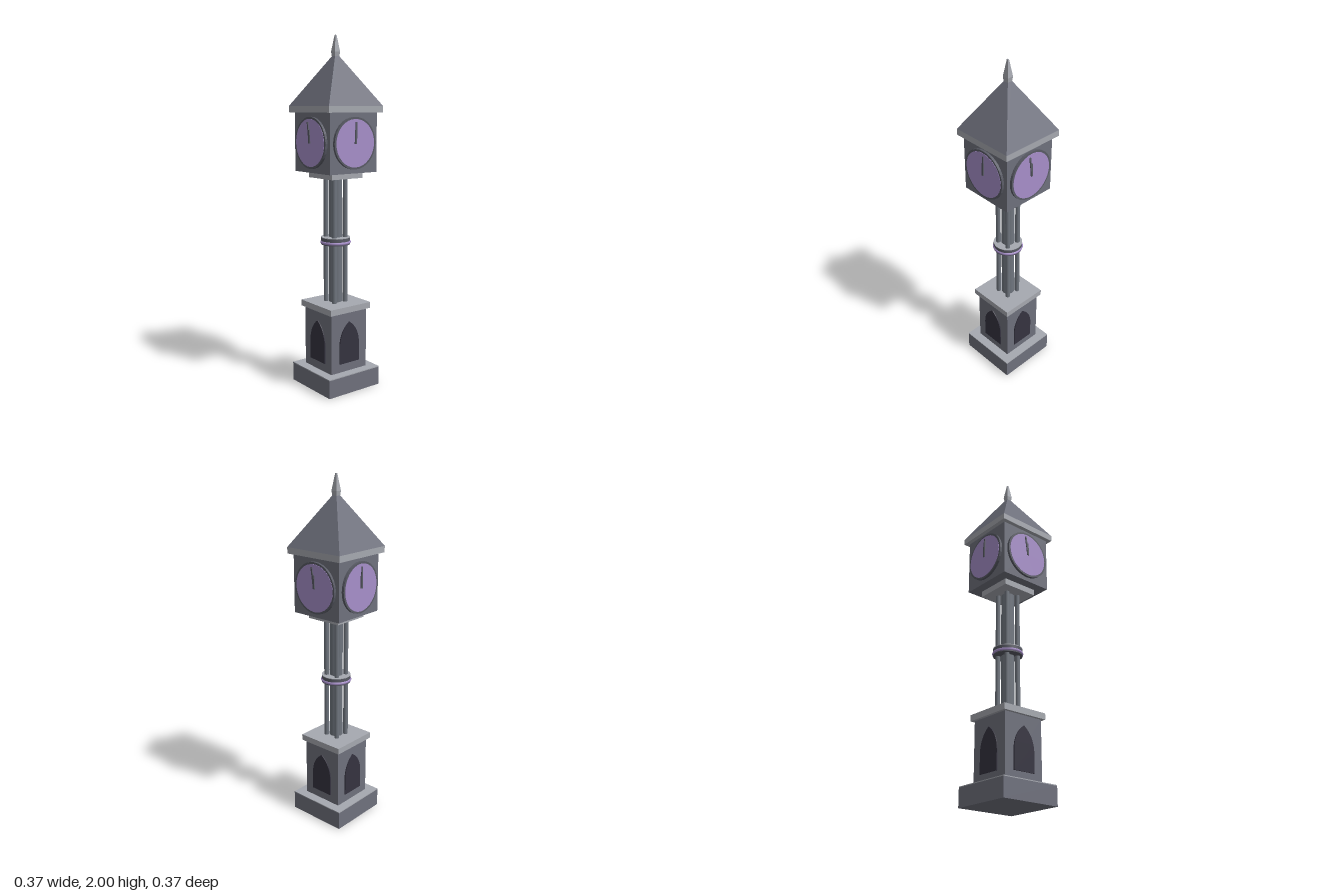
import * as THREE from 'three';

const mat = (name, color) => {
  const m = new THREE.MeshStandardMaterial({ color });
  m.name = name;
  return m;
};

export function createModel() {
  const stone = mat('stone', 0x6f717d);
  const trim = mat('pale trim', 0xa6a9b0);
  const iron = mat('iron', 0x595b65);
  const shaftGrey = mat('shaft grey', 0x70767f);
  const violet = mat('violet', 0xa78fca);
  const dark = mat('dark recess', 0x353340);

  const group = new THREE.Group();
  const add = (parent, name, geo, material, x = 0, y = 0, z = 0) => {
    const m = new THREE.Mesh(geo, material);
    m.name = name;
    m.position.set(x, y, z);
    parent.add(m);
    return m;
  };
  // Square block given by half width and its bottom and top heights
  const block = (name, half, y0, y1, material) =>
    add(group, name, new THREE.BoxGeometry(half * 2, y1 - y0, half * 2), material, 0, (y0 + y1) / 2, 0);
  // Square tapered prism given by half widths
  const taper = (name, bottom, top, y0, y1, material) => {
    const geo = new THREE.CylinderGeometry(top * Math.SQRT2, bottom * Math.SQRT2, y1 - y0, 4, 1)
      .rotateY(Math.PI / 4).toNonIndexed();
    geo.computeVertexNormals();
    return add(group, name, geo, material, 0, (y0 + y1) / 2, 0);
  };

  // Pedestal
  block('plinth', 0.18, 0, 0.105, stone);
  block('plinthTop', 0.18, 0.105, 0.11, trim);
  block('pedestal', 0.126, 0.11, 0.46, stone);
  block('pedestalCap', 0.143, 0.46, 0.495, trim);

  // Shaft with four corner colonettes
  add(group, 'shaftCore', new THREE.CylinderGeometry(0.038, 0.038, 0.72, 12), shaftGrey, 0, 0.855, 0);
  for (const x of [-1, 1]) for (const z of [-1, 1])
    add(group, 'colonette', new THREE.CylinderGeometry(0.014, 0.014, 0.72, 10), shaftGrey, x * 0.039, 0.855, z * 0.039);

  // Collar and its violet band
  add(group, 'collar', new THREE.CylinderGeometry(0.083, 0.083, 0.04, 32), iron, 0, 0.853, 0);
  add(group, 'collarTop', new THREE.CylinderGeometry(0.083, 0.083, 0.004, 32), trim, 0, 0.874, 0);
  add(group, 'collarBand', new THREE.TorusGeometry(0.078, 0.01, 8, 32).rotateX(Math.PI / 2), violet, 0, 0.846, 0);

  // Clock housing, roof and finial
  block('capital', 0.108, 1.215, 1.25, trim);
  block('clockHousing', 0.163, 1.25, 1.58, stone);
  block('cornice', 0.187, 1.58, 1.615, trim);
  taper('roof', 0.187, 0.012, 1.615, 1.89, stone);
  taper('finialBase', 0.014, 0.018, 1.88, 1.91, trim);
  taper('finialTip', 0.018, 0.004, 1.91, 2, trim);

  // Pointed arch outline
  const arch = new THREE.Shape();
  arch.moveTo(-0.069, 0.16);
  arch.lineTo(0.069, 0.16);
  arch.lineTo(0.069, 0.27);
  arch.quadraticCurveTo(0.066, 0.355, 0, 0.402);
  arch.quadraticCurveTo(-0.066, 0.355, -0.069, 0.27);
  arch.closePath();
  const archGeo = new THREE.ExtrudeGeometry(arch, { depth: 0.007, bevelEnabled: false, curveSegments: 8 });

  // Clock rim, dial and hand geometries
  const rim = new THREE.Shape().absarc(0, 0, 0.142, 0, Math.PI * 2);
  rim.holes.push(new THREE.Path().absarc(0, 0, 0.13, 0, Math.PI * 2, true));
  const rimGeo = new THREE.ExtrudeGeometry(rim, { depth: 0.015, bevelEnabled: false, curveSegments: 16 });
  const dialGeo = new THREE.CylinderGeometry(0.131, 0.131, 0.017, 32).rotateX(Math.PI / 2);
  const handGeo = (length, width) => new THREE.BoxGeometry(width, length, 0.005).translate(0, length / 2, 0);

  // The same arch and clock on each of the four sides
  for (let i = 0; i < 4; i++) {
    const side = new THREE.Group();
    side.name = 'side' + (i + 1);
    side.rotation.y = i * Math.PI / 2;
    group.add(side);
    add(side, 'archPanel', archGeo, dark, 0, 0, 0.125);
    add(side, 'clockRim', rimGeo, iron, 0, 1.415, 0.162);
    add(side, 'clockDial', dialGeo, violet, 0, 1.415, 0.17);
    const tilt = i % 2 ? -0.03 : 0.14;
    add(side, 'minuteHand', handGeo(0.115, 0.009), iron, 0, 1.415, 0.181).rotation.z = tilt;
    add(side, 'hourHand', handGeo(0.075, 0.013), iron, 0, 1.412, 0.181).rotation.z = tilt * 0.4;
  }
  return group;
}
